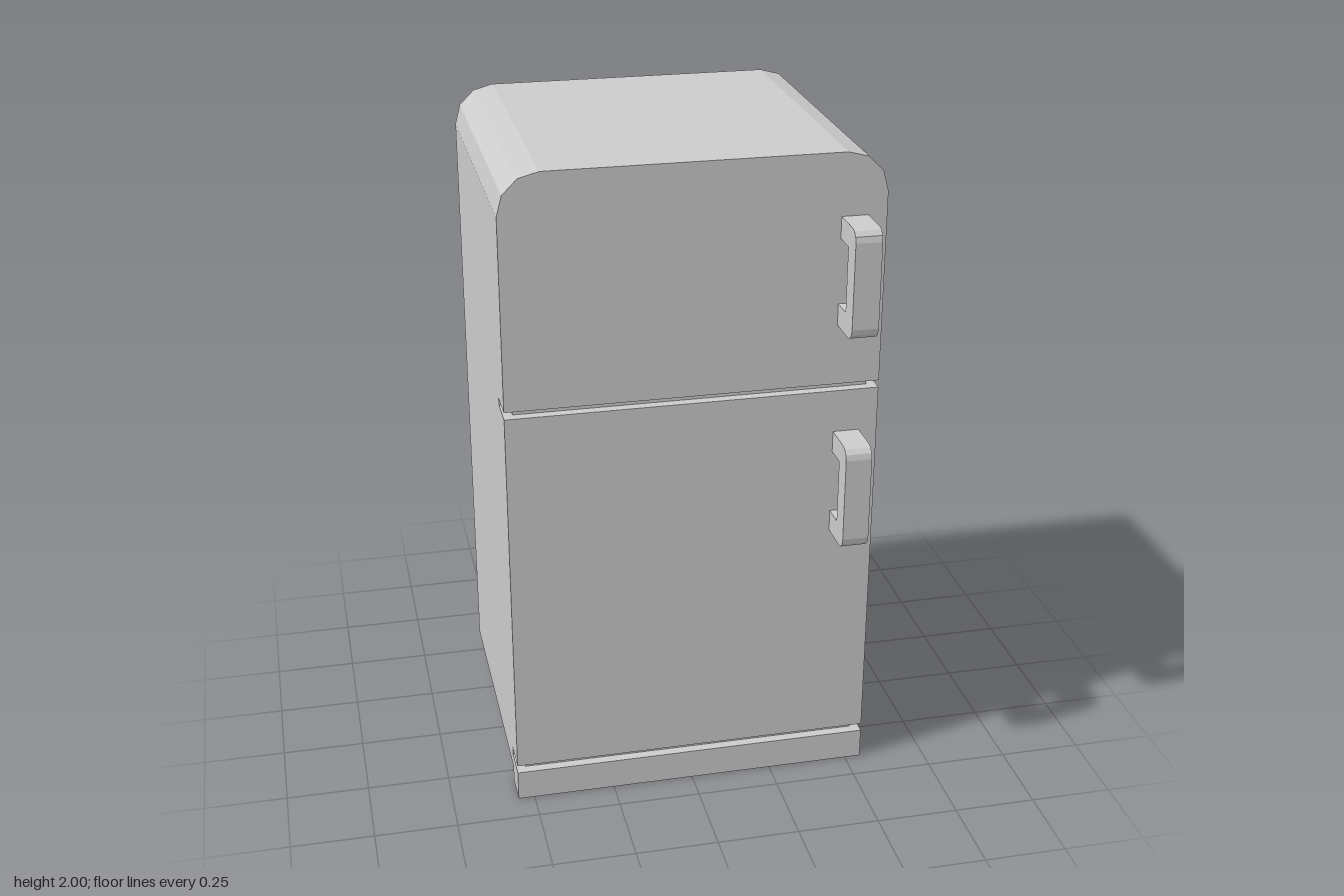
import * as THREE from 'three';

const material = new THREE.MeshStandardMaterial({ color: 0xcccccc, flatShading: true });
const HALF = 0.55, BACK = -0.54, SEAM = 0.3, FRONT = 0.405;

// Closed outline from corners [x, y, radius], listed counter-clockwise around a rectangle;
// each rounded corner gets three facets.
function outline(x0, x1, y0, y1, [bl, br, tr, tl]) {
  const points = [];
  const corner = (x, y, sx, sy, r, start) => {
    if (!r) return points.push(new THREE.Vector2(x, y));
    for (let i = 0; i <= 3; i++) {
      const a = start + (i * Math.PI) / 6;
      points.push(new THREE.Vector2(x - sx * r + r * Math.cos(a), y - sy * r + r * Math.sin(a)));
    }
  };
  corner(x0, y0, -1, -1, bl, Math.PI);
  corner(x1, y0, 1, -1, br, Math.PI * 1.5);
  corner(x1, y1, 1, 1, tr, 0);
  corner(x0, y1, -1, 1, tl, Math.PI / 2);
  return points;
}

function extrude(points, depth) {
  return new THREE.ExtrudeGeometry(new THREE.Shape(points), { depth, bevelEnabled: false });
}

// Slab with a front outline, spanning z0 to z1
function slab(name, halfWidth, y0, y1, z0, z1, radii = [0, 0, 0, 0]) {
  const geometry = extrude(outline(-halfWidth, halfWidth, y0, y1, radii), z1 - z0);
  geometry.translate(0, 0, z0);
  const mesh = new THREE.Mesh(geometry, material);
  mesh.name = name;
  return mesh;
}

// C-shaped pull handle: side profile (z, y) extruded across x
function handle(name, bottom) {
  const top = bottom + 0.325, bar = 0.065, inner = 0.475;
  const points = outline(FRONT - 0.005, 0.54, bottom, top, [0, 0.035, 0.035, 0]);
  points.push(
    new THREE.Vector2(FRONT - 0.005, top - bar),
    new THREE.Vector2(inner, top - bar),
    new THREE.Vector2(inner, bottom + bar),
    new THREE.Vector2(FRONT - 0.005, bottom + bar)
  );
  const geometry = extrude(points, 0.078);
  geometry.rotateY(-Math.PI / 2);
  geometry.translate(0.495, 0, 0);
  const mesh = new THREE.Mesh(geometry, material);
  mesh.name = name;
  return mesh;
}

export function createModel() {
  const model = new THREE.Group();
  model.name = 'refrigerator';
  model.add(
    // Cabinet, doors and plinth
    slab('cabinet', HALF, 0, 2, BACK, SEAM, [0.05, 0.05, 0.12, 0.12]),
    slab('freezerDoor', HALF, 1.307, 2, SEAM, FRONT, [0, 0, 0.12, 0.12]),
    slab('mainDoor', HALF, 0.12, 1.285, SEAM, FRONT),
    slab('kickPlate', HALF, 0, 0.095, SEAM, FRONT),
    // Recessed strips inside the gaps
    slab('upperGasket', 0.522, 1.285, 1.307, 0.328, 0.375),
    slab('lowerGasket', 0.522, 0.095, 0.12, 0.328, 0.375),
    // Pull handles
    handle('freezerHandle', 1.49),
    handle('mainHandle', 0.83)
  );
  return model;
}
